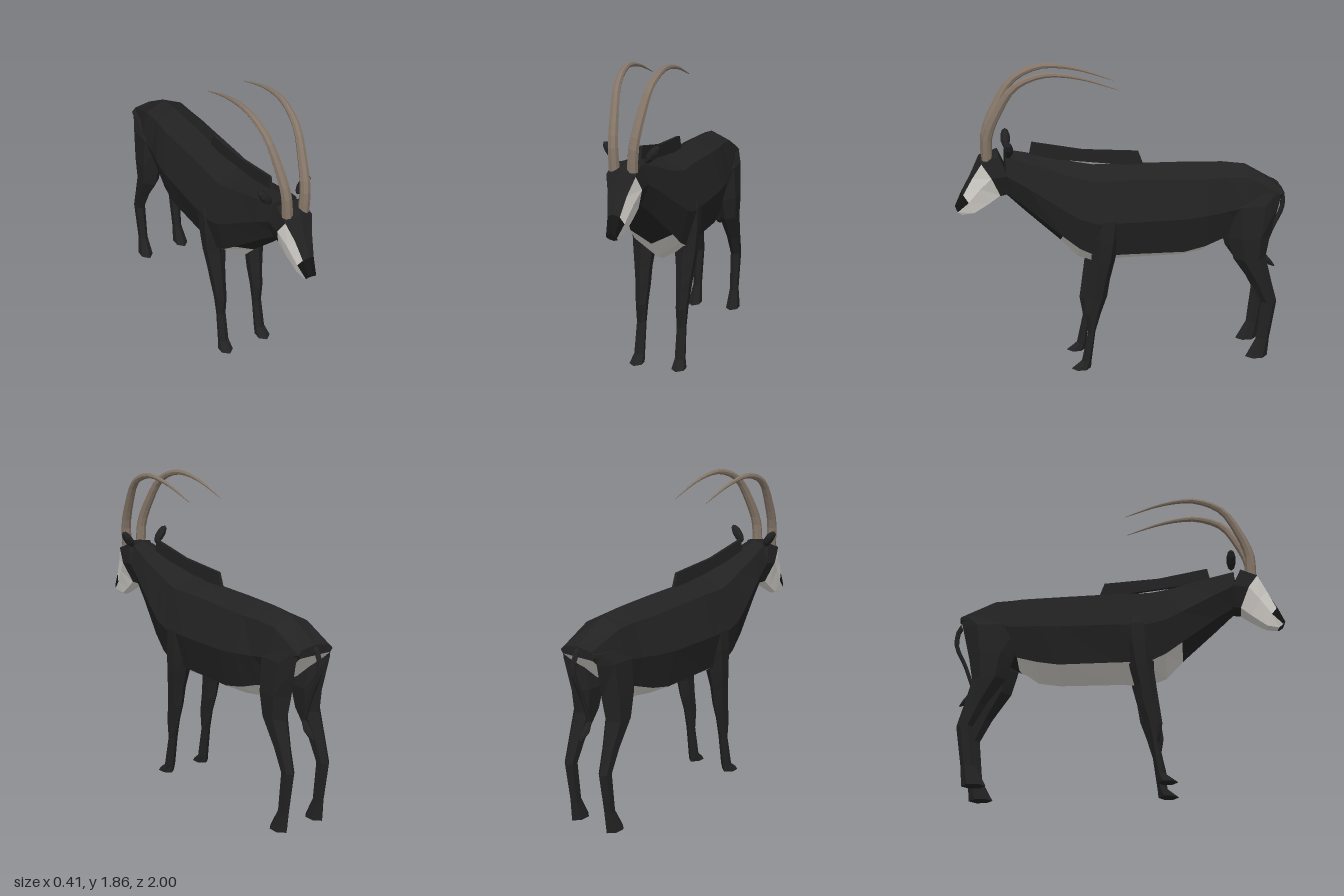
import * as THREE from 'three';

const mat = (name, color) => {
  const m = new THREE.MeshStandardMaterial({ color, flatShading: true });
  m.name = name;
  return m;
};

// Skin a list of closed rings, with caps; pick(strip, column) gives a material index.
function loft(rings, pick, count = 1) {
  const faces = Array.from({ length: count }, () => []);
  const n = rings[0].length, last = rings.length - 1;
  for (let i = 0; i < last; i++) {
    for (let j = 0; j < n; j++) {
      const k = (j + 1) % n;
      const [a, b, c, d] = [rings[i][j], rings[i][k], rings[i + 1][k], rings[i + 1][j]];
      faces[pick(i, j)].push(...a, ...b, ...c, ...a, ...c, ...d);
    }
  }
  for (let k = 1; k < n - 1; k++) {
    faces[0].push(...rings[0][0], ...rings[0][k + 1], ...rings[0][k]);
    faces[0].push(...rings[last][0], ...rings[last][k], ...rings[last][k + 1]);
  }
  const geo = new THREE.BufferGeometry();
  geo.setAttribute('position', new THREE.Float32BufferAttribute(faces.flat(), 3));
  let start = 0;
  faces.forEach((f, i) => {
    geo.addGroup(start, f.length / 3, i);
    start += f.length / 3;
  });
  geo.computeVertexNormals();
  return geo;
}

// Half ring from top centre to bottom centre, completed by its mirror image.
const mirrorRing = (half) =>
  [...half, ...half.slice(1, -1).reverse().map(([x, y, z]) => [-x, y, z])];

// Tube whose radius follows a rule along its length.
function taperedTube(points, segments, sides, radiusAt) {
  const curve = new THREE.CatmullRomCurve3(points.map((p) => new THREE.Vector3(...p)));
  const geo = new THREE.TubeGeometry(curve, segments, 1, sides);
  const pos = geo.attributes.position, v = new THREE.Vector3();
  for (let i = 0; i < pos.count; i++) {
    const t = Math.floor(i / (sides + 1)) / segments;
    const c = curve.getPointAt(t);
    v.fromBufferAttribute(pos, i).sub(c).multiplyScalar(radiusAt(t)).add(c);
    pos.setXYZ(i, v.x, v.y, v.z);
  }
  geo.computeVertexNormals();
  return geo;
}

// Six-sided leg from rows of [y, front z, back z, inner x, outer x].
function legGeometry(rows, side) {
  const rings = rows.map(([y, zf, zb, xi, xo]) => {
    const xm = (xi + xo) / 2, z = (t) => zb + (zf - zb) * t;
    const ring = [[xm, z(0)], [xo, z(0.28)], [xo, z(0.72)], [xm, z(1)], [xi, z(0.72)], [xi, z(0.28)]]
      .map(([x, zz]) => [x * side, y, zz]);
    return side > 0 ? ring : ring.reverse();
  });
  return loft(rings, () => 0);
}

export function createModel() {
  const coat = mat('black coat', 0x222222);
  const white = mat('white fur', 0xd9d6d0);
  const nose = mat('dark nose', 0x141414);
  const horn = mat('brown horn', 0x857668);

  const model = new THREE.Group();
  const add = (name, geo, material) => {
    const mesh = new THREE.Mesh(geo, material);
    mesh.name = name;
    model.add(mesh);
    return mesh;
  };

  // Neck and trunk: z, top y, upper x y, side x y, lower x y, bottom y
  const trunk = [
    [0.70, 1.385, 0.07, 1.36, 0.10, 1.25, 0.05, 1.13, 1.11],
    [0.58, 1.36, 0.09, 1.32, 0.125, 1.18, 0.08, 1.04, 0.99],
    [0.38, 1.31, 0.105, 1.25, 0.17, 1.05, 0.13, 0.87, 0.80],
    [0.28, 1.285, 0.12, 1.22, 0.19, 0.99, 0.145, 0.79, 0.69],
    [0.18, 1.265, 0.13, 1.20, 0.20, 0.96, 0.15, 0.74, 0.65],
    [0.00, 1.262, 0.13, 1.20, 0.205, 0.96, 0.15, 0.74, 0.66],
    [-0.35, 1.255, 0.13, 1.185, 0.20, 0.96, 0.15, 0.735, 0.66],
    [-0.48, 1.25, 0.13, 1.18, 0.19, 0.97, 0.14, 0.76, 0.68],
    [-0.60, 1.245, 0.12, 1.18, 0.165, 0.98, 0.12, 0.80, 0.77],
    [-0.74, 1.225, 0.12, 1.17, 0.16, 1.00, 0.10, 0.86, 0.85],
    [-0.95, 1.10, 0.10, 1.085, 0.125, 1.06, 0.11, 1.04, 1.04],
  ].map(([z, yt, xu, yu, xs, ys, xl, yl, yb]) =>
    mirrorRing([[0, yt, z], [xu, yu, z], [xs, ys, z], [xl, yl, z], [0, yb, z]]));
  const bellyOrRump = (i, j) => ((j === 3 || j === 4) && ((i >= 2 && i <= 7) || i === 9) ? 1 : 0);
  add('body', loft(trunk, bellyOrRump, 2), [coat, white]);

  // Head, from the muzzle back to the poll
  const headRings = [
    [[0, 1.05, 1.0], [0.025, 1.04, 0.995], [0.032, 1.02, 0.985], [0.025, 1.0, 0.96], [0, 0.99, 0.95]],
    [[0, 1.14, 0.96], [0.035, 1.125, 0.95], [0.05, 1.08, 0.92], [0.035, 1.01, 0.89], [0, 1.0, 0.89]],
    [[0, 1.24, 0.905], [0.055, 1.23, 0.895], [0.075, 1.17, 0.85], [0.05, 1.07, 0.80], [0, 1.06, 0.80]],
    [[0, 1.36, 0.85], [0.085, 1.325, 0.84], [0.10, 1.24, 0.785], [0.06, 1.12, 0.735], [0, 1.095, 0.735]],
    [[0, 1.385, 0.74], [0.08, 1.37, 0.74], [0.105, 1.25, 0.69], [0.06, 1.13, 0.66], [0, 1.11, 0.66]],
  ].map(mirrorRing);
  const facePaint = (i, j) => {
    const col = Math.min(j, 7 - j);
    if (i === 3) return 0;
    if (i === 0 && col < 2) return 2;
    return col > 0 ? 1 : 0;
  };
  add('head', loft(headRings, facePaint, 3), [coat, white, nose]);

  // Upright mane along the neck and withers
  const maneShape = new THREE.Shape([
    [0.56, 1.33], [0.54, 1.42], [0.24, 1.36], [-0.09, 1.335], [-0.125, 1.24],
  ].map(([z, y]) => new THREE.Vector2(z, y)));
  const maneGeo = new THREE.ExtrudeGeometry(maneShape, { depth: 0.018, bevelEnabled: false });
  maneGeo.translate(0, 0, -0.009).rotateY(-Math.PI / 2);
  add('mane', maneGeo, coat);

  // Tail and tuft
  add('tail', taperedTube([
    [0, 1.09, -0.93], [0, 1.05, -0.97], [0, 0.99, -0.986], [0, 0.93, -0.983],
    [0, 0.80, -0.925], [0, 0.63, -0.865],
  ], 12, 6, (t) => 0.016 - 0.004 * t), coat);
  add('tailTuft', taperedTube([[0, 0.66, -0.86], [0, 0.60, -0.89], [0, 0.545, -0.95]],
    4, 6, (t) => 0.004 + 0.018 * Math.sin(Math.PI * t)), coat);

  const frontLeg = [
    [1.02, 0.14, 0.05, 0.09, 0.185], [0.97, 0.20, 0.03, 0.08, 0.203], [0.85, 0.21, 0.04, 0.075, 0.205],
    [0.70, 0.21, 0.07, 0.07, 0.195], [0.58, 0.225, 0.10, 0.085, 0.18], [0.47, 0.24, 0.117, 0.09, 0.168],
    [0.36, 0.255, 0.155, 0.095, 0.16], [0.24, 0.235, 0.19, 0.10, 0.155],
    [0.05, 0.275, 0.215, 0.10, 0.16], [0.0, 0.34, 0.22, 0.095, 0.173],
  ];
  const hindLeg = [
    [1.07, -0.80, -0.945, 0.10, 0.135], [1.0, -0.60, -0.93, 0.08, 0.168], [0.80, -0.62, -0.885, 0.045, 0.18],
    [0.66, -0.66, -0.86, 0.065, 0.175], [0.50, -0.77, -0.90, 0.09, 0.165], [0.365, -0.84, -0.937, 0.10, 0.16],
    [0.12, -0.815, -0.90, 0.105, 0.155], [0.0, -0.75, -0.89, 0.095, 0.173],
  ];

  for (const side of [1, -1]) {
    const name = side > 0 ? 'left' : 'right';
    add(name + 'FrontLeg', legGeometry(frontLeg, side), coat);
    add(name + 'HindLeg', legGeometry(hindLeg, side), coat);

    // Backswept horn
    const path = [
      [0.052, 1.34, 0.805], [0.06, 1.48, 0.80], [0.075, 1.625, 0.74], [0.095, 1.775, 0.64],
      [0.108, 1.838, 0.50], [0.113, 1.843, 0.40], [0.115, 1.815, 0.25], [0.113, 1.742, 0.045],
    ].map(([x, y, z]) => [x * side, y, z]);
    add(name + 'Horn', taperedTube(path, 18, 8, (t) => 0.002 + 0.03 * (1 - t ** 1.3)), horn);

    // Leaf-shaped ear
    const ear = add(name + 'Ear', new THREE.SphereGeometry(1, 7, 5), coat);
    ear.scale.set(0.028, 0.064, 0.03);
    ear.rotation.z = -0.65 * side;
    ear.position.set(0.122 * side, 1.413, 0.685);
  }
  return model;
}
